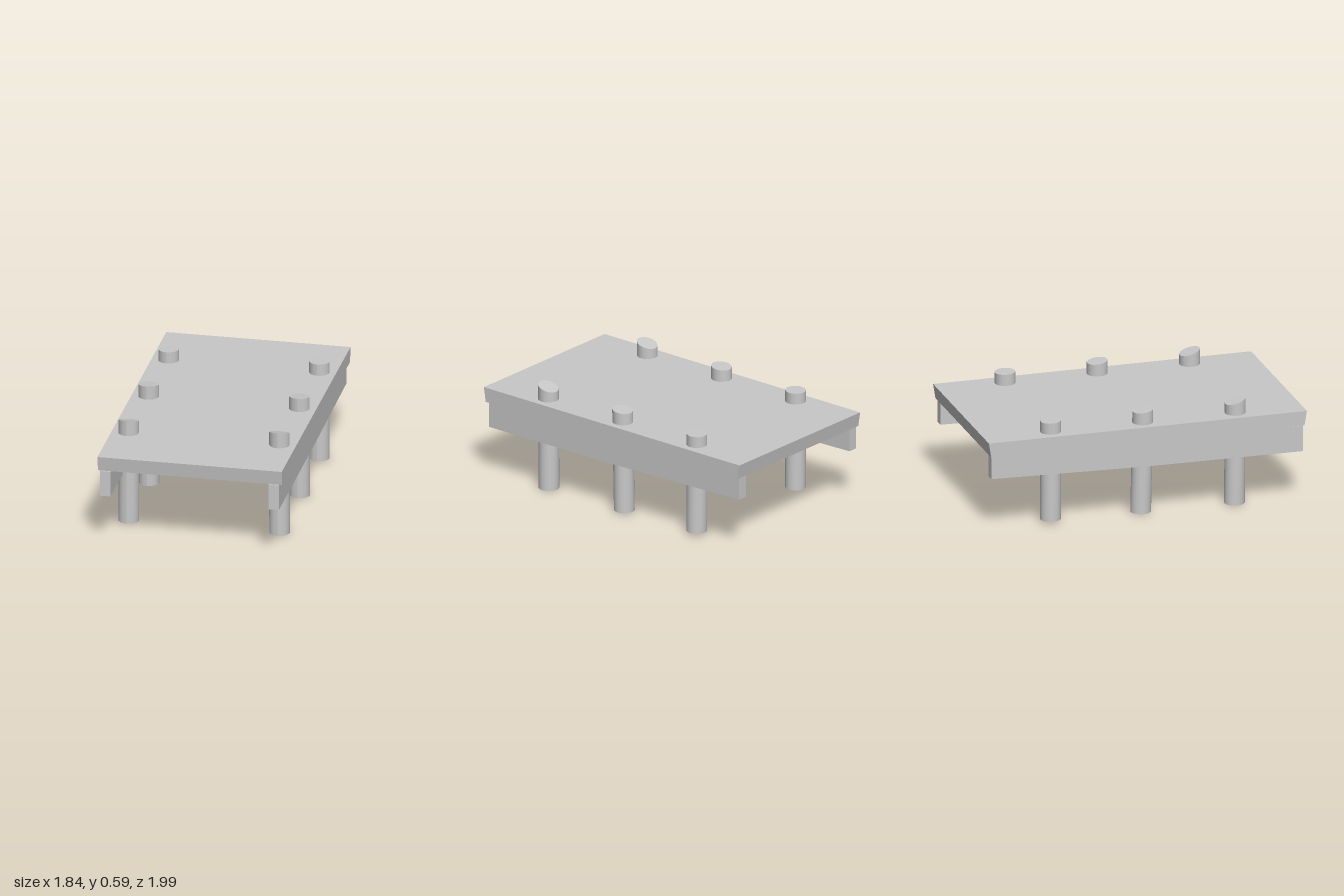
import * as THREE from 'three';

// Apply a rule to every vertex of a geometry
function reshape(geometry, rule) {
  const p = geometry.attributes.position;
  const v = new THREE.Vector3();
  for (let i = 0; i < p.count; i++) {
    v.fromBufferAttribute(p, i);
    rule(v);
    p.setXYZ(i, v.x, v.y, v.z);
  }
  geometry.computeVertexNormals();
  return geometry;
}

// A box without its bottom face (the fourth of six)
function openBox(width, height, depth) {
  const box = new THREE.BoxGeometry(width, height, depth);
  box.setIndex(Array.from(box.index.array).filter((_, i) => i < 18 || i >= 24));
  box.clearGroups();
  return box;
}

export function createModel() {
  const model = new THREE.Group();
  model.name = 'pier';
  const grey = new THREE.MeshStandardMaterial({ color: 0xc8c8c8, side: THREE.DoubleSide });
  grey.name = 'weathered grey';

  const add = (name, geometry) => {
    const mesh = new THREE.Mesh(geometry, grey);
    mesh.name = name;
    model.add(mesh);
  };

  // Deck: a top with a skirt, hollow below, its ends undercut slightly
  add('deck', reshape(openBox(0.99, 0.08, 1.75), (v) => {
    if (v.y < 0) v.z *= 0.985;
    v.y += 0.46;
  }));

  // Side beams, reaching into the deck at the back and drooping toward the front
  for (const [name, x] of [['leftBeam', 0.448], ['rightBeam', -0.456]]) {
    add(name, reshape(new THREE.BoxGeometry(0.055, 1, 1.715, 1, 1, 2), (v) => {
      const t = v.z / 0.8575;
      if (v.y > 0) v.y = t > 0 ? 0.424 - 0.01 * t : 0.424 - 0.023 * t;
      else v.y = t > 0 ? 0.278 - 0.004 * t : 0.278 - 0.018 * t;
      v.x += x;
    }));
  }

  // Posts: open below, top cut at a slant that grows toward the front
  const rows = [
    { z: -0.508, bottom: 0.014, top: 0.562, slant: 0.03, lean: 0 },
    { z: 0, bottom: 0.005, top: 0.568, slant: 0.13, lean: -0.012 },
    { z: 0.508, bottom: 0, top: 0.569, slant: 0.3, lean: -0.004 },
  ];
  const radius = 0.055;
  for (const side of [1, -1]) {
    for (const row of rows) {
      const topAt = (z) => row.top + row.slant * z;
      const place = (v) => {
        v.x += side * 0.405;
        v.z += row.z;
      };
      const label = side > 0 ? 'leftPost' : 'rightPost';
      add(label, reshape(new THREE.CylinderGeometry(radius, radius, 1, 16, 1, true), (v) => {
        if (v.y > 0) {
          v.y = topAt(v.z);
        } else {
          v.y = row.bottom;
          v.z += row.lean;
        }
        place(v);
      }));
      add(label + 'Top', reshape(new THREE.CircleGeometry(radius, 16).rotateX(-Math.PI / 2), (v) => {
        v.y = topAt(v.z);
        place(v);
      }));
    }
  }

  // The pier stands diagonally
  model.rotation.y = Math.atan2(0.6, 0.8);
  return model;
}
